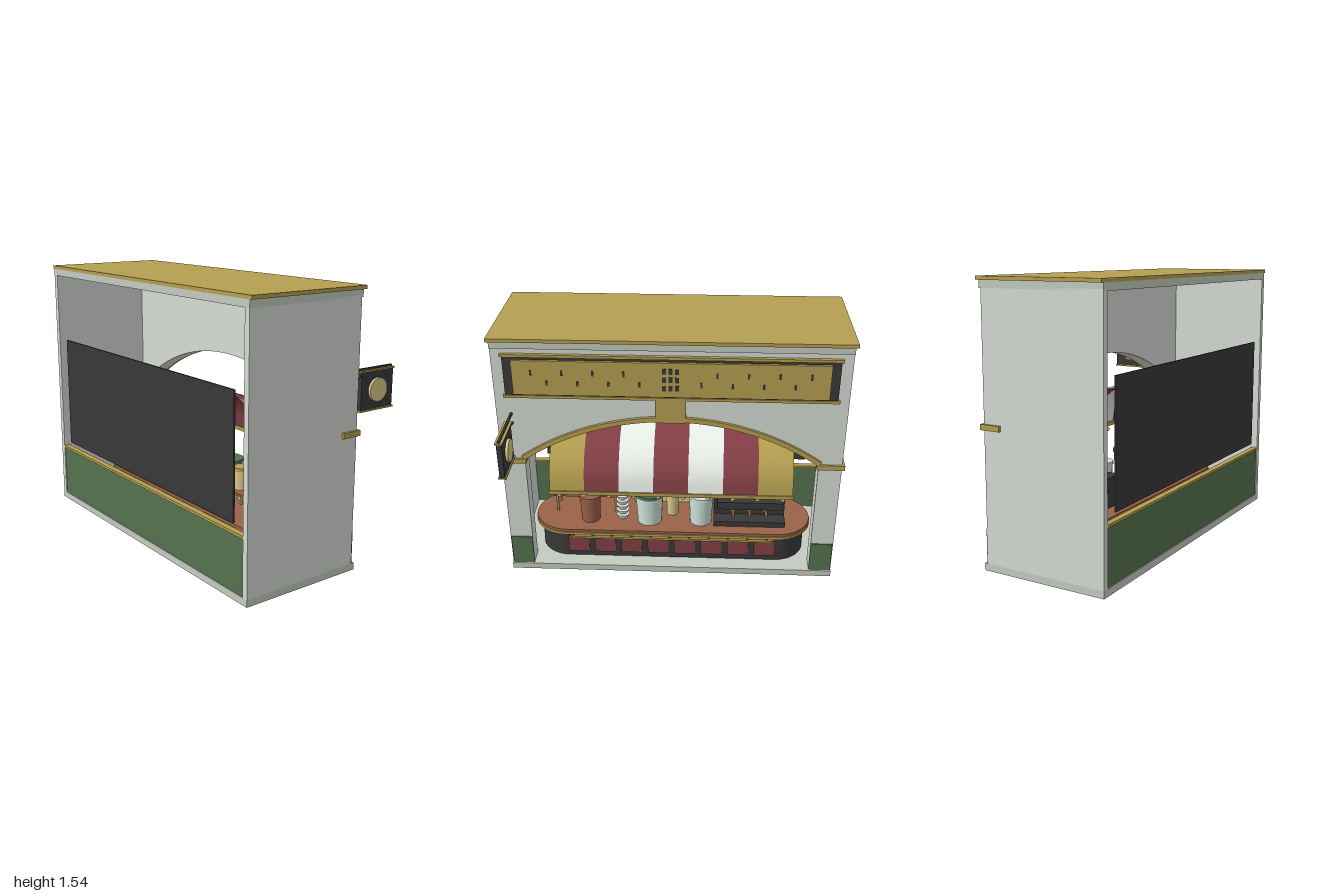
import * as THREE from 'three';

const mats = {};
const mat = (c) => (mats[c] ??= new THREE.MeshStandardMaterial({ color: c, side: THREE.DoubleSide }));
const PALE = 0xd6dcd5, STONE = 0xc4ccc1, GOLD = 0xb59f50, GREEN = 0x55724e, DARK = 0x3a3839;
const MAROON = 0x833f45, WHITE = 0xeaf0ea, WOOD = 0x9a6248, MINT = 0xcfe5da, CREAM = 0xdcc98c;

export function createModel() {
  const model = new THREE.Group();
  model.name = 'coffeeKiosk';
  let parent = model;

  const add = (name, geo, color) => {
    const m = new THREE.Mesh(geo, mat(color));
    m.name = name;
    parent.add(m);
    return m;
  };
  const group = (name) => {
    parent = new THREE.Group();
    parent.name = name;
    model.add(parent);
  };
  // Box given by its extents
  const box = (name, color, x0, x1, y0, y1, z0, z1) => {
    const m = add(name, new THREE.BoxGeometry(x1 - x0, y1 - y0, z1 - z0), color);
    m.position.set((x0 + x1) / 2, (y0 + y1) / 2, (z0 + z1) / 2);
    return m;
  };
  const cyl = (name, color, x, y0, y1, z, rBottom, rTop = rBottom) => {
    const m = add(name, new THREE.CylinderGeometry(rTop, rBottom, y1 - y0, 24), color);
    m.position.set(x, (y0 + y1) / 2, z);
    return m;
  };
  const rod = (name, color, a, b, r) => {
    const path = new THREE.LineCurve3(new THREE.Vector3(...a), new THREE.Vector3(...b));
    return add(name, new THREE.TubeGeometry(path, 1, r, 8), color);
  };

  // Shell: base, side walls, ceiling and roof, open on the +z side
  group('shell');
  box('base', STONE, -0.985, 0.985, 0, 0.04, -0.21, 0.53);
  for (const s of [-1, 1]) {
    box('sideWall', PALE, Math.min(s * 0.985, s * 0.95), Math.max(s * 0.985, s * 0.95), 0.04, 1.49, -0.19, 0.53);
  }
  box('cornice', STONE, -0.985, 0.985, 1.48, 1.52, -0.2, 0.53);
  box('roof', GOLD, -1, 1, 1.52, 1.54, -0.21, 0.53);

  // Arched wall: a segmental arch springing at y = 0.79
  const HALF = 0.85, SPRING = 0.79, R = 1.47, CY = 1.055 - R;
  const a0 = Math.atan2(SPRING - CY, HALF);
  const wall = new THREE.Shape();
  wall.moveTo(-0.95, 0.04).lineTo(-HALF, 0.04).lineTo(-HALF, SPRING);
  wall.absarc(0, CY, R, Math.PI - a0, a0, true);
  wall.lineTo(HALF, 0.04).lineTo(0.95, 0.04).lineTo(0.95, 1.48).lineTo(-0.95, 1.48);
  const extrude = (shape, depth) =>
    new THREE.ExtrudeGeometry(shape, { depth, bevelEnabled: false, curveSegments: 40 });
  add('archWall', extrude(wall, 0.1), PALE).position.z = -0.19;

  const band = new THREE.Shape();
  band.absarc(0, CY, R + 0.028, a0, Math.PI - a0, false);
  band.absarc(0, CY, R, Math.PI - a0, a0, true);
  add('archMoulding', extrude(band, 0.025), GOLD).position.z = -0.208;
  box('keystone', GOLD, -0.085, 0.085, 1.05, 1.19, -0.212, -0.18);
  for (const s of [-1, 1]) {
    const x0 = s < 0 ? -1 : 0.84;
    box('springMoulding', GOLD, x0, x0 + 0.16, 0.76, 0.79, -0.205, -0.085);
    const g0 = s < 0 ? -0.98 : 0.85;
    box('pilasterBase', GREEN, g0, g0 + 0.13, 0.04, 0.23, -0.198, -0.18);
  }

  // Open side: low green wall, sill and dark screen
  group('serviceSide');
  box('lowWall', GREEN, -0.95, 0.95, 0.04, 0.35, 0.505, 0.525);
  box('sill', GOLD, -0.95, 0.95, 0.35, 0.365, 0.495, 0.53);
  box('darkScreen', DARK, -0.865, 0.865, 0.405, 1.08, 0.515, 0.525);

  // Fascia board with a row of plain inlays
  group('fascia');
  box('fasciaBoard', DARK, -0.92, 0.92, 1.2, 1.435, -0.205, -0.185);
  box('fasciaPanel', GOLD, -0.87, 0.87, 1.215, 1.42, -0.22, -0.2);
  for (const y of [1.19, 1.435]) box('fasciaTrim', GOLD, -0.93, 0.93, y, y + 0.016, -0.212, -0.185);
  for (let i = 0; i < 9; i++) {
    const x = (i % 3 - 1) * 0.035, y = 1.32 + (Math.floor(i / 3) - 1) * 0.05;
    box('inlay', DARK, x - 0.011, x + 0.011, y - 0.016, y + 0.016, -0.222, -0.215);
  }
  for (let i = -9; i <= 9; i++) {
    if (Math.abs(i) < 2) continue;
    const y = 1.32 + (i % 2 ? 0.03 : -0.03);
    box('inlay', DARK, i * 0.085 - 0.006, i * 0.085 + 0.006, y - 0.016, y + 0.016, -0.222, -0.215);
  }

  // Hanging sign on a bracket
  group('hangingSign');
  box('signBoard', DARK, 0.885, 0.915, 0.86, 1.07, -0.525, -0.287);
  for (const y of [0.853, 1.068]) box('signTrim', GOLD, 0.878, 0.922, y, y + 0.009, -0.53, -0.28);
  cyl('signDisc', CREAM, 0.9, 0.935, 0.995, -0.405, 0.065).rotation.z = Math.PI / 2;
  box('bracketBar', DARK, 0.893, 0.907, 1.077, 1.087, -0.525, -0.18);
  rod('bracketBrace', DARK, [0.9, 1.02, -0.185], [0.9, 1.05, -0.3], 0.008);

  // Awning: curved striped strips with a rail and bulbs
  group('awning');
  const profile = new THREE.CatmullRomCurve3(
    [[-0.212, 0.575], [-0.19, 0.68], [-0.14, 0.765], [-0.04, 0.845], [0.08, 0.895], [0.2, 0.92]]
      .map(([z, y]) => new THREE.Vector3(0, y, z)));
  const stripes = [GOLD, MAROON, WHITE, MAROON, WHITE, MAROON, GOLD];
  const w = 1.43 / stripes.length;
  stripes.forEach((color, i) => {
    const geo = new THREE.PlaneGeometry(w, 1, 1, 20);
    const p = geo.attributes.position;
    for (let k = 0; k < p.count; k++) {
      const q = profile.getPoint(p.getY(k) + 0.5);
      p.setXYZ(k, -(p.getX(k) + (i - 3) * w), q.y, q.z);
    }
    geo.computeVertexNormals();
    add('awningStripe', geo, color);
  });
  box('awningRail', GOLD, -0.72, 0.72, 0.56, 0.583, -0.218, -0.198);
  for (let i = 0; i < 10; i++) {
    add('bulb', new THREE.SphereGeometry(0.014, 12, 8), CREAM).position.set(-0.66 + i * 0.1467, 0.545, -0.195);
  }

  // Counter with rounded ends, wooden top and panelled face
  group('counter');
  const stadium = (half, r) => {
    const s = new THREE.Shape();
    s.absarc(half - r, 0, r, -Math.PI / 2, Math.PI / 2, false);
    s.absarc(r - half, 0, r, Math.PI / 2, Math.PI * 1.5, false);
    return s;
  };
  const slab = (name, color, half, r, y0, y1) => {
    const m = add(name, extrude(stadium(half, r), y1 - y0), color);
    m.rotation.x = -Math.PI / 2;
    m.position.set(0, y0, 0.08);
  };
  slab('counterBody', DARK, 0.83, 0.19, 0.04, 0.22);
  slab('counterEdge', GOLD, 0.865, 0.222, 0.215, 0.232);
  slab('counterTop', WOOD, 0.86, 0.215, 0.232, 0.25);
  for (let i = 0; i < 8; i++) {
    const x = (i - 3.5) * 0.165;
    box('counterPanel', MAROON, x - 0.065, x + 0.065, 0.075, 0.19, -0.118, -0.1);
  }
  box('footRail', GOLD, -0.62, 0.62, 0.2, 0.213, -0.155, -0.14);

  // Counter equipment
  group('equipment');
  box('machineBase', DARK, -0.7, -0.26, 0.25, 0.285, -0.06, 0.2);
  box('machineBody', DARK, -0.7, -0.26, 0.285, 0.4, 0.03, 0.2);
  box('machineHead', DARK, -0.68, -0.28, 0.37, 0.42, -0.05, 0.2);
  for (const x of [-0.58, -0.48, -0.38]) {
    cyl('brewSpout', GOLD, x, 0.34, 0.37, -0.01, 0.02);
    rod('brewHandle', WOOD, [x, 0.355, -0.01], [x, 0.345, -0.09], 0.009);
  }
  box('displayBox', CREAM, -0.25, 0.25, 0.25, 0.4, 0.2, 0.26);
  const canister = (name, color, lid, x, y, z, r, h) => {
    cyl(name, color, x, y, y + h, z, r * 0.88, r);
    cyl(name + 'Lid', lid, x, y + h, y + h + 0.02, z, r * 1.06);
  };
  canister('mintCanister', MINT, GREEN, 0.14, 0.25, 0, 0.085, 0.19);
  canister('mintCanister', MINT, MINT, -0.18, 0.25, 0, 0.075, 0.18);
  canister('mintCanister', MINT, MAROON, -0.48, 0.42, 0.1, 0.055, 0.1);
  canister('creamCanister', CREAM, GOLD, -0.62, 0.42, 0.1, 0.045, 0.11);
  canister('creamCup', CREAM, CREAM, 0, 0.25, 0.08, 0.04, 0.15);
  canister('grinder', WOOD, WOOD, 0.51, 0.25, 0, 0.065, 0.16);
  for (let i = 0; i < 5; i++) cyl('cupStack', WHITE, 0.31, 0.25 + i * 0.035, 0.278 + i * 0.035, 0.02, 0.028, 0.04);

  // Small shelf at the left end carrying canisters
  box('shelfBoard', WOOD, 0.34, 0.75, 0.365, 0.378, 0.06, 0.2);
  for (const x of [0.36, 0.73]) for (const z of [0.075, 0.185]) rod('shelfPost', GOLD, [x, 0.25, z], [x, 0.37, z], 0.008);
  canister('creamCanister', CREAM, GOLD, 0.67, 0.378, 0.13, 0.05, 0.12);
  canister('creamCanister', CREAM, GOLD, 0.43, 0.378, 0.13, 0.045, 0.11);

  return model;
}
